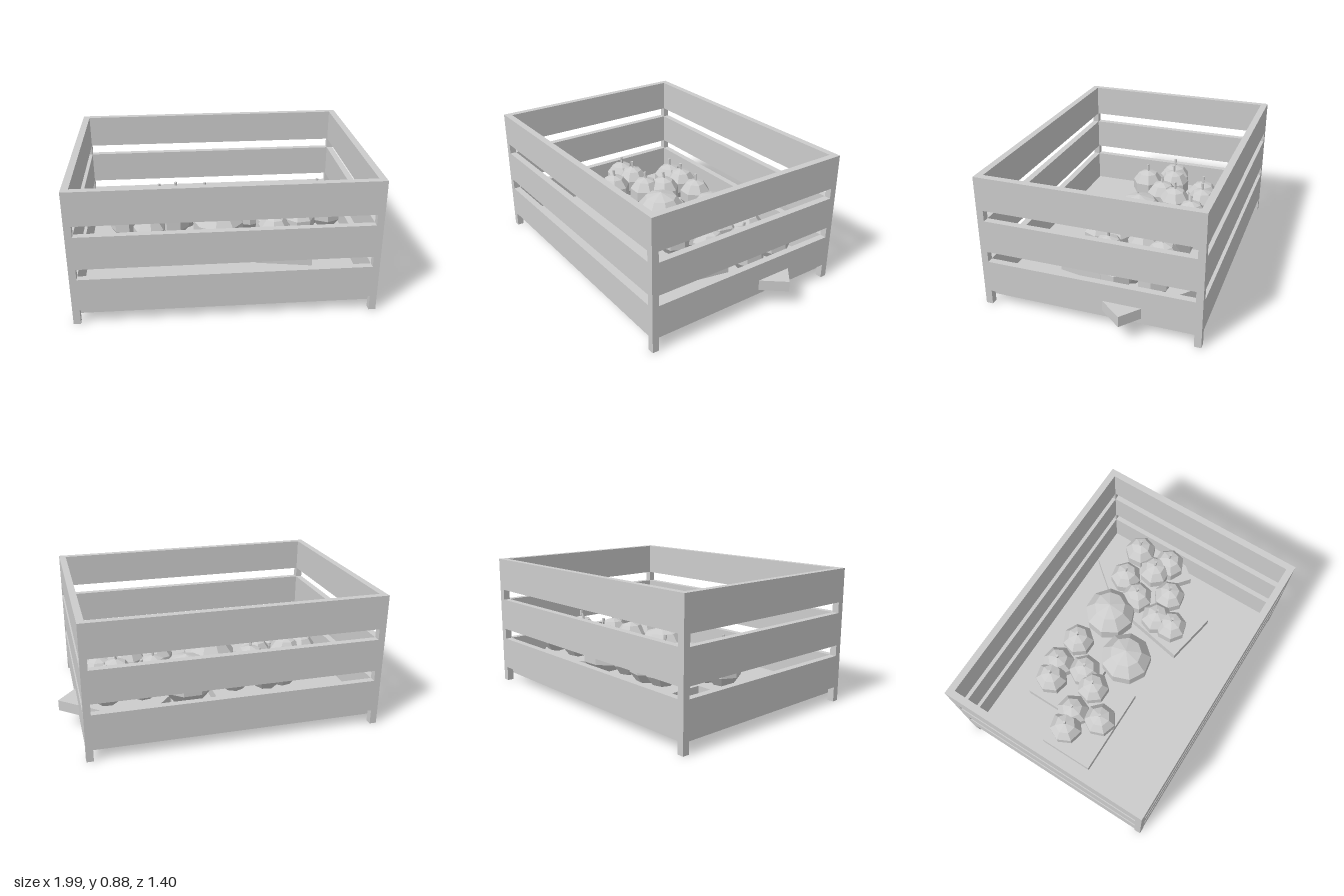
import * as THREE from 'three';

export function createModel() {
  const grey = new THREE.MeshStandardMaterial({ color: 0xcccccc, flatShading: true });
  grey.name = 'plain grey';
  const crate = new THREE.Group();
  crate.name = 'crate';

  const add = (parent, name, geometry, x, y, z) => {
    const mesh = new THREE.Mesh(geometry, grey);
    mesh.name = name;
    mesh.position.set(x, y, z);
    parent.add(mesh);
    return mesh;
  };

  // Crate frame: extents and board thickness
  const x0 = -1, x1 = 0.875, zh = 0.7, t = 0.044, h = 0.875;
  const cx = (x0 + x1) / 2, innerW = x1 - x0 - 2 * t, innerD = 2 * (zh - t);

  // Corner posts
  for (const x of [x0 + t / 2, x1 - t / 2])
    for (const s of [-1, 1])
      add(crate, 'cornerPost', new THREE.BoxGeometry(t, h, t), x, h / 2, s * (zh - t / 2));

  // Three rows of side boards between the posts
  for (const [low, high] of [[0.097, 0.308], [0.378, 0.59], [0.66, 0.875]]) {
    const bh = high - low, y = (low + high) / 2;
    for (const s of [-1, 1]) {
      add(crate, 'longBoard', new THREE.BoxGeometry(innerW, bh, t), cx, y, s * (zh - t / 2));
      add(crate, 'endBoard', new THREE.BoxGeometry(t, bh, innerD), cx + s * (x1 - x0 - t) / 2, y, 0);
    }
  }

  // Floor panel
  add(crate, 'floor', new THREE.BoxGeometry(innerW, 0.047, innerD), cx, 0.0735, 0);

  // Fruit blocks: a flat slab carrying four stemmed fruits [x, z, turn]
  const fruits = [[-0.163, -0.075, 0], [-0.045, -0.098, 0.5], [0.167, -0.073, 0.2], [0.002, 0.092, 0.8]];
  const fruitGeo = new THREE.SphereGeometry(0.115, 7, 5);
  const stemGeo = new THREE.CylinderGeometry(0.011, 0.008, 0.06, 5);
  const slabGeo = new THREE.BoxGeometry(0.61, 0.07, 0.375);
  for (const [x, z, turn] of [[-0.297, -0.285, 0], [-0.535, -0.005, 0], [0.64, -0.285, 2.449], [0.41, -0.005, 1.385]]) {
    const bunch = new THREE.Group();
    bunch.name = 'fruitBunch';
    bunch.position.set(x, 0, z);
    bunch.rotation.y = turn;
    crate.add(bunch);
    add(bunch, 'slab', slabGeo, 0, 0.155, 0);
    for (const [fx, fz, spin] of fruits) {
      const fruit = new THREE.Group();
      fruit.name = 'smallFruit';
      fruit.position.set(fx, 0.3, fz);
      fruit.rotation.y = spin;
      bunch.add(fruit);
      add(fruit, 'fruitBody', fruitGeo, 0, 0, 0);
      add(fruit, 'stem', stemGeo, 0, 0.127, 0).rotation.z = 0.15;
    }
  }

  // Two large squat fruits resting on the floor
  const bigGeo = new THREE.SphereGeometry(0.184, 9, 5).scale(1, 0.92, 1);
  for (const [x, z, turn] of [[0.17, -0.285, 0.2], [-0.06, -0.005, 0]])
    add(crate, 'largeFruit', bigGeo, x, 0.272, z).rotation.y = turn;

  return crate;
}
